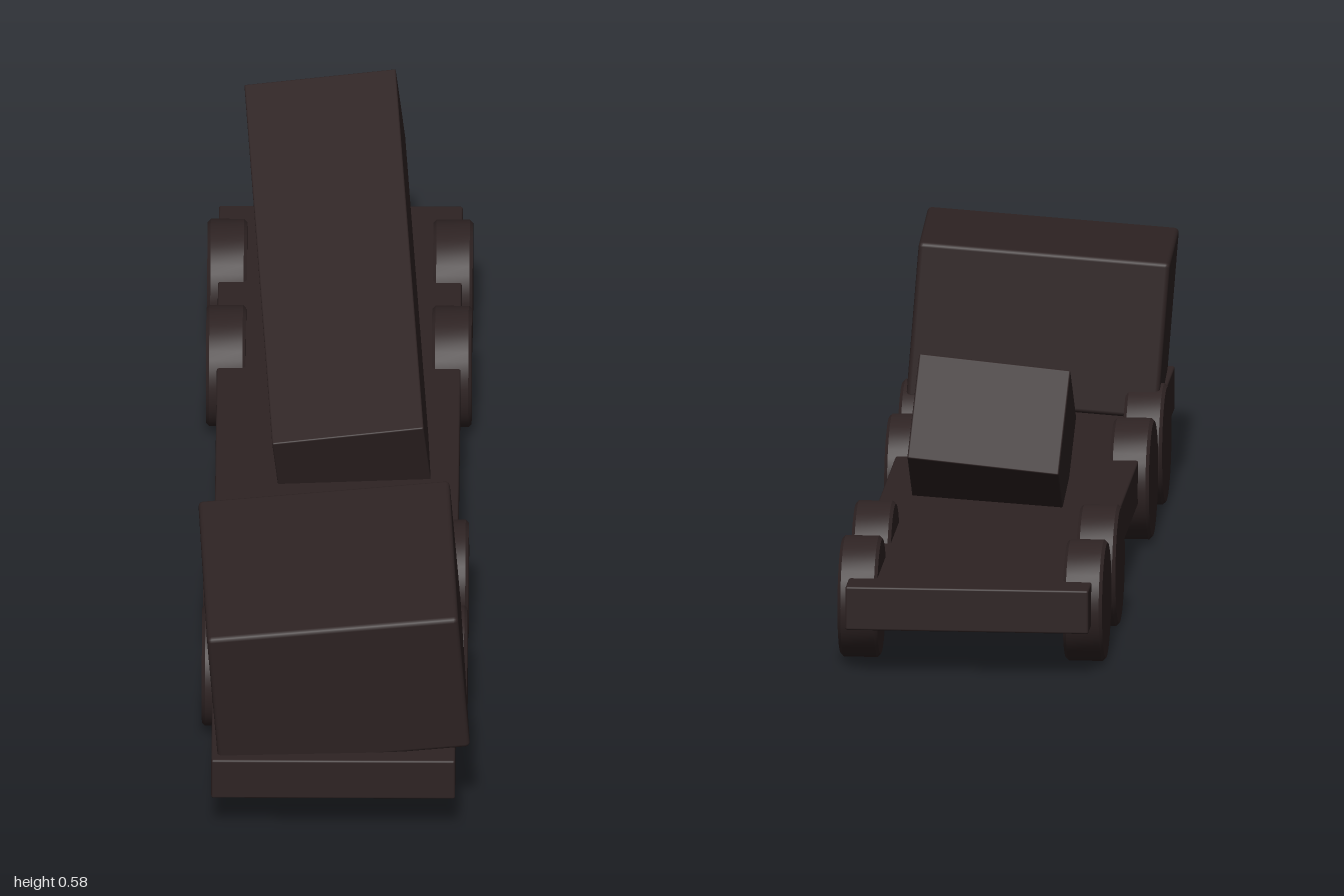
import * as THREE from 'three';
import { toCreasedNormals } from 'three/addons/utils/BufferGeometryUtils.js';
import { RoundedBoxGeometry } from 'three/addons/geometries/RoundedBoxGeometry.js';

export function createModel() {
  const group = new THREE.Group();
  group.name = 'launcherTruck';
  const paint = new THREE.MeshStandardMaterial({ color: 0x2e2323 });
  paint.name = 'dark brown paint';

  // softly bevelled box, optionally tilted
  function addBox(name, size, position, bevel, rotation = [0, 0, 0]) {
    const mesh = new THREE.Mesh(new RoundedBoxGeometry(...size, 2, bevel), paint);
    mesh.name = name;
    mesh.position.set(...position);
    mesh.rotation.set(...rotation);
    group.add(mesh);
  }

  addBox('chassis', [0.461, 0.084, 2], [0, 0.129, 0], 0.004);
  // cab and launch box sit slightly askew on the bed
  addBox('cab', [0.477, 0.3, 0.457], [0, 0.323, 0.753], 0.009, [0.065, 0.044, 0.075]);
  addBox('launchBox', [0.288, 0.2, 0.896], [0, 0.339, -0.422], 0.003, [0.311, 0.066, 0.089]);

  // wheels: bevelled discs in four mirrored pairs
  const r = 0.115, h = 0.0375, b = 0.006;
  const profile = [[0, -h], [r - b, -h], [r, -h + b], [r, h - b], [r - b, h], [0, h]]
    .map(([x, y]) => new THREE.Vector2(x, y));
  const wheelGeometry = toCreasedNormals(new THREE.LatheGeometry(profile, 40), 0.5);
  wheelGeometry.rotateZ(Math.PI / 2);
  [0.565, 0.257, -0.513, -0.823].forEach((z, i) => {
    for (const side of [-1, 1]) {
      const wheel = new THREE.Mesh(wheelGeometry, paint);
      wheel.name = `${side > 0 ? 'left' : 'right'}Wheel${i + 1}`;
      wheel.position.set(side * 0.2135, r, z);
      group.add(wheel);
    }
  });

  return group;
}
